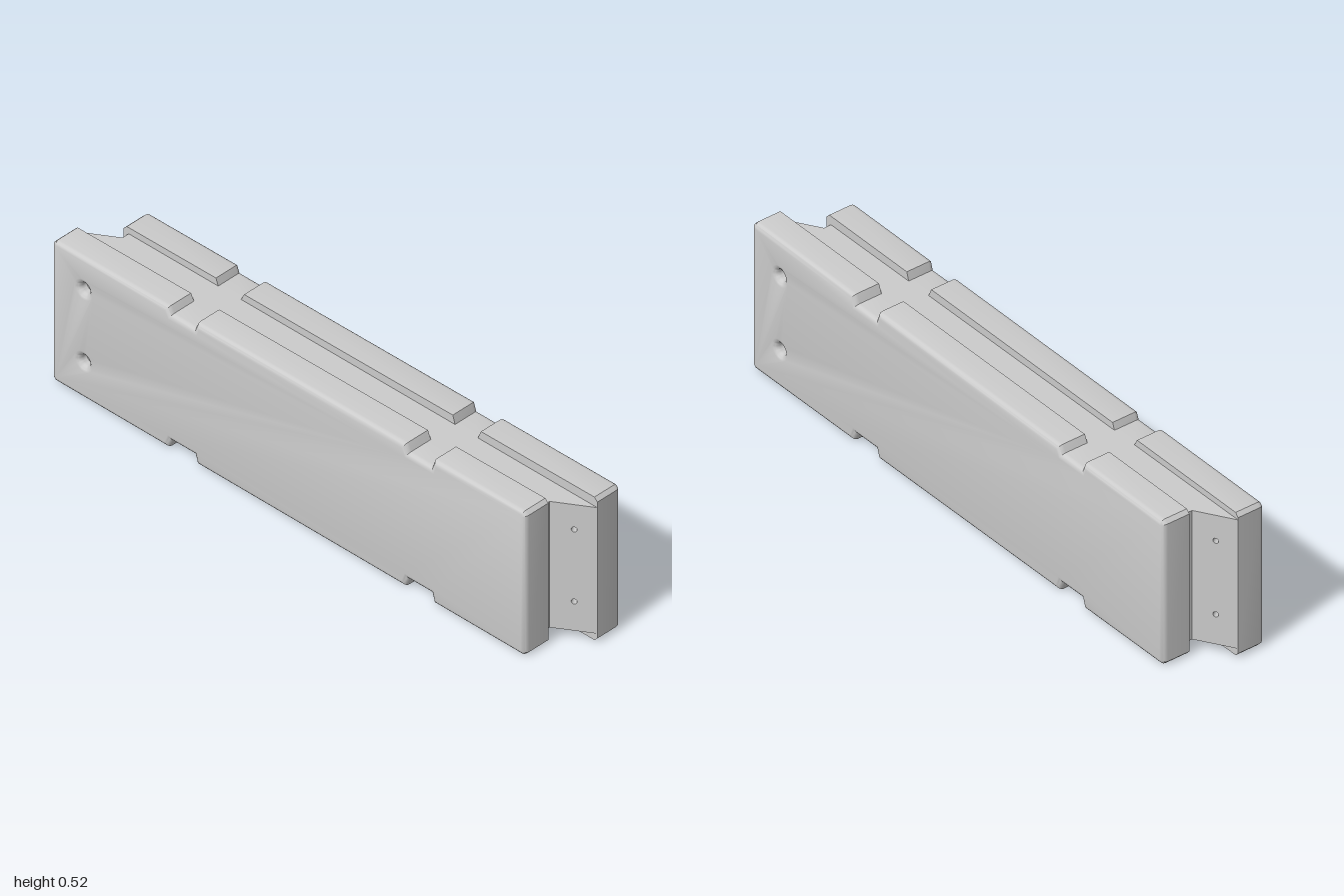
import * as THREE from 'three';
import { toCreasedNormals } from 'three/addons/utils/BufferGeometryUtils.js';

const OUT = 0.147, IN = 0.05;            // outer and inner z of each half
const FLOOR = 0.035, CEIL = 0.49;        // channel and notch floors
const HOLES_Y = [0.14, 0.4];
const BEVEL = 0.018;
const mat = new THREE.MeshStandardMaterial({ color: 0xcccccc });

function add(parent, name, geometry) {
  const mesh = new THREE.Mesh(geometry, mat);
  mesh.name = name;
  parent.add(mesh);
  return mesh;
}

function roundHole(x, y, r) {
  return new THREE.Path().absarc(x, y, r, 0, Math.PI * 2, true);
}

// Side slab: notched outline with eased outer edges and two blind screw pits
function slabGeometry(topLeft, topRight) {
  const x0 = -1, x1 = 0.9, c = 0.012;
  const top = x => THREE.MathUtils.lerp(topLeft, topRight, (x - x0) / (x1 - x0));
  const low = x => THREE.MathUtils.lerp(0.006, 0.002, (x - x0) / (x1 - x0));
  const pts = [[x0, low(x0) + c], [x0 + c, low(x0)]];
  for (const x of [-0.475, 0.475]) {
    pts.push([x - 0.058, low(x)], [x - 0.046, FLOOR], [x + 0.046, FLOOR], [x + 0.055, low(x)]);
  }
  pts.push([x1 - c, low(x1)], [x1, low(x1) + c], [x1, top(x1) - c], [x1 - c, top(x1)]);
  for (const x of [0.475, -0.475]) {
    pts.push([x + 0.055, top(x)], [x + 0.046, CEIL], [x - 0.046, CEIL], [x - 0.058, top(x)]);
  }
  pts.push([x0 + c, top(x0)], [x0, top(x0) - c]);

  const shape = new THREE.Shape(pts.map(p => new THREE.Vector2(...p)));
  for (const y of HOLES_Y) shape.holes.push(roundHole(-0.87, y, 0.018));
  const g = new THREE.ExtrudeGeometry(shape, {
    depth: OUT - IN - BEVEL, bevelThickness: BEVEL, bevelSize: BEVEL,
    bevelOffset: -BEVEL, bevelSegments: 4, curveSegments: 10,
  });
  g.translate(0, 0, IN);
  // Flatten the inner bevel so the channel wall stays square
  const pos = g.attributes.position;
  for (let i = 0; i < pos.count; i++) pos.setZ(i, Math.max(pos.getZ(i), IN));
  return toCreasedNormals(g, 0.6);
}

function makeHalf(name, topLeft, topRight) {
  const half = new THREE.Group();
  half.name = name;
  add(half, 'sideSlab', slabGeometry(topLeft, topRight));

  // Floors of the screw pits
  for (const y of HOLES_Y) {
    const plug = add(half, 'pitFloor', new THREE.CylinderGeometry(0.021, 0.021, 0.055, 20));
    plug.rotation.x = Math.PI / 2;
    plug.position.set(-0.87, y, 0.088);
  }

  // Slanted end face of the core, with two small screw exits
  const a = new THREE.Vector2(-1, IN), b = new THREE.Vector2(-0.895, -0.015);
  const len = a.distanceTo(b) + 0.02;
  const face = new THREE.Shape();
  face.moveTo(0, FLOOR);
  face.lineTo(len, FLOOR);
  face.lineTo(len, CEIL);
  face.lineTo(0, CEIL);
  for (const y of HOLES_Y) face.holes.push(roundHole(0.075, y, 0.009));
  const plate = add(half, 'slantedEnd',
    new THREE.ExtrudeGeometry(face, { depth: 0.025, bevelEnabled: false, curveSegments: 8 }));
  // Local x runs from b to a; local z is the outward normal
  const along = new THREE.Vector3(a.x - b.x, 0, a.y - b.y).normalize();
  const up = new THREE.Vector3(0, 1, 0);
  const outward = new THREE.Vector3().crossVectors(along, up);
  plate.quaternion.setFromRotationMatrix(new THREE.Matrix4().makeBasis(along, up, outward));
  plate.position.set(b.x, 0, b.y).addScaledVector(along, -0.02).addScaledVector(outward, -0.025);
  return half;
}

export function createModel() {
  const model = new THREE.Group();
  model.name = 'jointedBeam';

  // Front half, and the same half turned round for the back
  model.add(makeHalf('frontHalf', 0.51, 0.52));
  const back = makeHalf('backHalf', 0.522, 0.512);
  back.rotation.y = Math.PI;
  model.add(back);

  // Recessed core between the slabs, forming the channel floors
  const plan = [[-0.97, 0.06], [-0.88, 0.004], [-0.88, -0.06],
    [0.97, -0.06], [0.88, -0.004], [0.88, 0.06]];
  const core = new THREE.ExtrudeGeometry(
    new THREE.Shape(plan.map(([x, z]) => new THREE.Vector2(x, -z))),
    { depth: CEIL - FLOOR, bevelEnabled: false });
  core.rotateX(-Math.PI / 2).translate(0, FLOOR, 0);
  add(model, 'core', core);
  return model;
}
